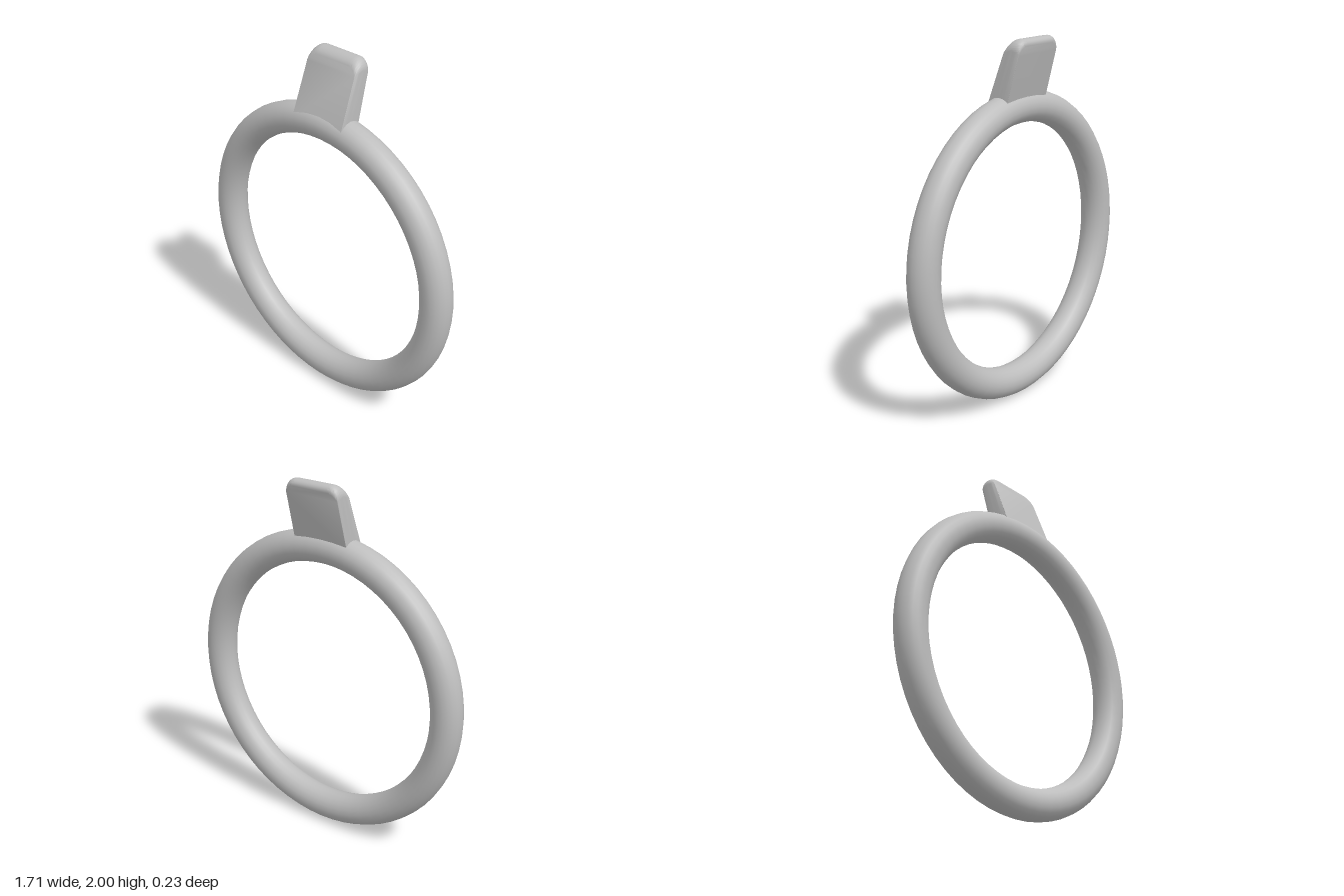
import * as THREE from 'three';
import { toCreasedNormals } from 'three/addons/utils/BufferGeometryUtils.js';

const grey = new THREE.MeshStandardMaterial({ color: 0xbdbdbd });
grey.name = 'grey';

// Leaning tab: a round-topped outline swept front to back, tapered, with a softened top
function tabGeometry() {
  const w = 0.168, bottom = 1.64, top = 2.0, r = 0.06;
  const shape = new THREE.Shape();
  shape.moveTo(-w, bottom);
  shape.lineTo(w, bottom);
  shape.lineTo(w, top - r);
  shape.absarc(w - r, top - r, r, 0, Math.PI / 2);
  shape.absarc(-w + r, top - r, r, Math.PI / 2, Math.PI);
  shape.closePath();
  const geo = new THREE.ExtrudeGeometry(shape, {
    depth: 1, steps: 12, bevelEnabled: false, curveSegments: 8,
  });
  const p = geo.attributes.position;
  for (let i = 0; i < p.count; i++) {
    const t = (1 - Math.cos(Math.PI * p.getZ(i))) / 2;
    const e = Math.abs(2 * t - 1);
    const round = 1 - Math.sqrt(Math.max(0, 1 - e * e));
    const k = THREE.MathUtils.smoothstep(p.getY(i), 1.86, top);
    const y = p.getY(i) - 0.035 * round * k;
    const x = p.getX(i) * (1 - 0.06 * round * k);
    const front = 0.09 - 0.373 * (y - 1.68);
    const back = -0.035 - 0.278 * (y - 1.69);
    p.setXYZ(i, x, y, THREE.MathUtils.lerp(back, front, t));
  }
  return toCreasedNormals(geo, 0.6);
}

export function createModel() {
  const model = new THREE.Group();
  model.name = 'ringWithTab';

  // Round hoop standing upright
  const ring = new THREE.Mesh(new THREE.TorusGeometry(0.769, 0.086, 20, 64), grey);
  ring.name = 'ring';
  ring.position.set(0, 0.86, 0.027);

  const tab = new THREE.Mesh(tabGeometry(), grey);
  tab.name = 'tab';

  model.add(ring, tab);
  return model;
}
